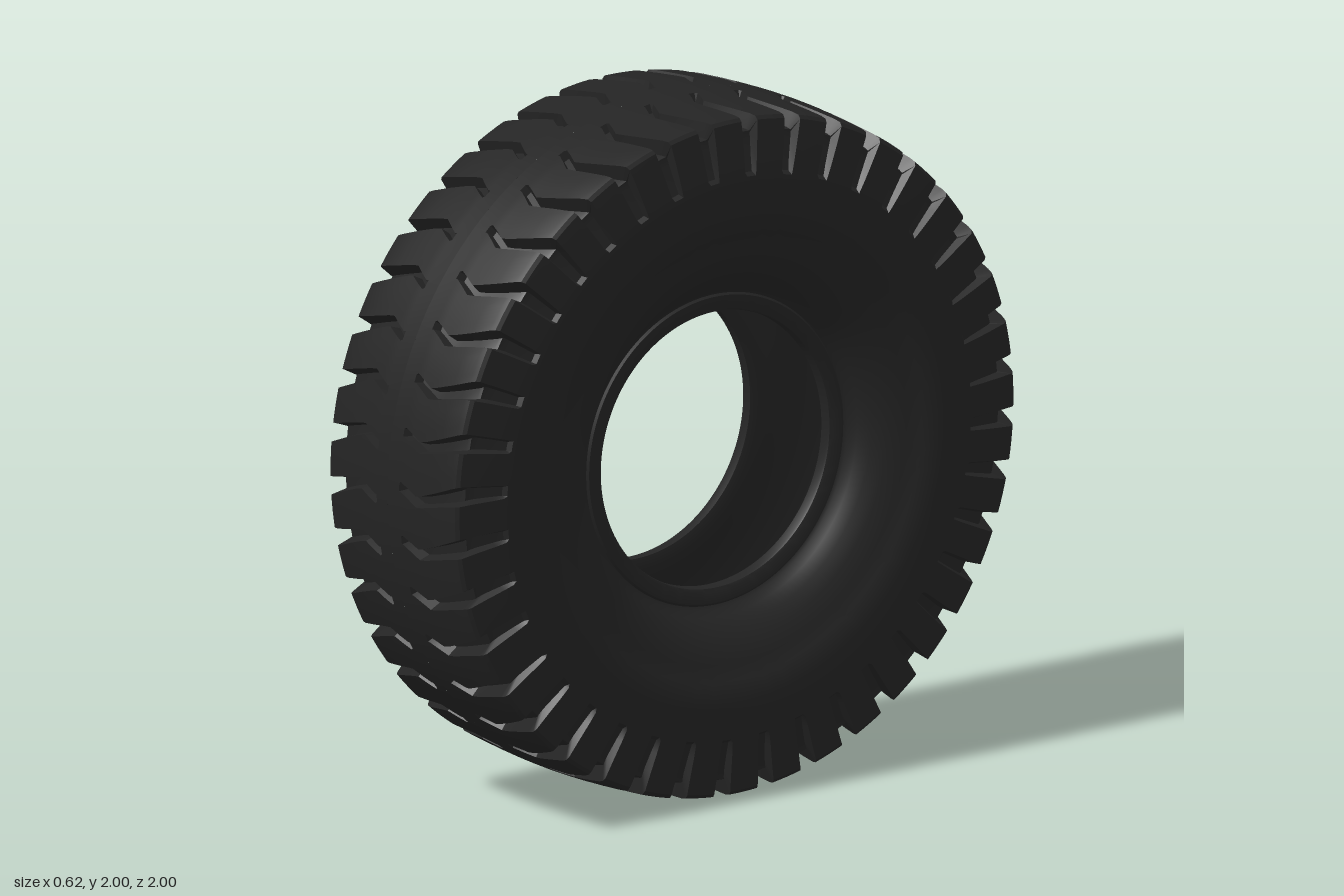
import * as THREE from 'three';
import { toCreasedNormals } from 'three/addons/utils/BufferGeometryUtils.js';

const PITCHES = 40;
const PITCH = (Math.PI * 2) / PITCHES;

// Tread cross-section from centre line to sidewall:
// x, radius, groove depth in x, groove depth in radius, groove angle, groove width
const ROWS = [
  [0, 1, 0, 0, 0.03, 0.028],
  [0.052, 0.999, 0, 0, 0.03, 0.028],
  [0.06, 0.999, 0, 0.025, 0.03, 0.028],
  [0.09, 0.998, 0, 0.03, 0.017, 0.03],
  [0.125, 0.996, 0, 0.035, 0, 0.032],
  [0.15, 0.995, 0, 0.038, 0.005, 0.035],
  [0.21, 0.991, 0, 0.042, 0.023, 0.042],
  [0.27, 0.986, 0.004, 0.045, 0.042, 0.052],
  [0.288, 0.982, 0.012, 0.045, 0.047, 0.056],
  [0.296, 0.972, 0.02, 0.04, 0.049, 0.058],
  [0.302, 0.92, 0.022, 0.01, 0.05, 0.054],
  [0.308, 0.86, 0.018, 0, 0.05, 0.05],
  [0.311, 0.825, 0.012, 0, 0.05, 0.046],
  [0.3115, 0.815, 0, 0, 0.05, 0.044],
  [0.312, 0.8, 0, 0, 0.05, 0.044],
];

// One half of the tread, with mesh columns that follow the bent grooves
function treadHalf() {
  const pos = [], index = [];
  const cols = PITCHES * 7 + 1;
  for (const [x, r, dx, dr, shift, w] of ROWS) {
    const land = PITCH - w;
    const offsets = [-w / 2, -w * 0.33, w * 0.33, w / 2,
      w / 2 + land * 0.25, w / 2 + land * 0.5, w / 2 + land * 0.75];
    for (let c = 0; c < cols; c++) {
      const k = c % 7;
      const a = Math.floor(c / 7) * PITCH + shift + offsets[k];
      const cut = k === 1 || k === 2 ? 1 : 0;
      const rr = r - dr * cut;
      pos.push(x - dx * cut, rr * Math.sin(a), rr * Math.cos(a));
    }
  }
  for (let i = 0; i < ROWS.length - 1; i++) {
    for (let j = 0; j < cols - 1; j++) {
      const a = i * cols + j, b = a + cols;
      index.push(a, b, b + 1, a, b + 1, a + 1);
    }
  }
  const g = new THREE.BufferGeometry();
  g.setAttribute('position', new THREE.Float32BufferAttribute(pos, 3));
  g.setIndex(index);
  return toCreasedNormals(g, 0.5);
}

// Sidewalls, beads and hollow inside as one lathe around the x axis
function carcass() {
  const half = [ // radius, x
    [0.802, 0.312], [0.72, 0.311], [0.655, 0.308], [0.648, 0.303],
    [0.6, 0.295], [0.55, 0.276], [0.51, 0.252], [0.48, 0.225], [0.462, 0.203],
    [0.452, 0.198], [0.446, 0.204], [0.41, 0.204], [0.402, 0.2], [0.4, 0.192],
    [0.4, 0.165], [0.43, 0.16], [0.48, 0.18], [0.54, 0.225], [0.62, 0.255],
    [0.74, 0.258], [0.82, 0.24], [0.87, 0.19], [0.89, 0.1],
  ];
  const mirrored = half.slice().reverse().map(([r, x]) => [r, -x]);
  const points = [...half, ...mirrored].map(([r, x]) => new THREE.Vector2(r, x));
  const g = new THREE.LatheGeometry(points, 140);
  g.rotateZ(-Math.PI / 2);
  return toCreasedNormals(g, 0.6);
}

export function createModel() {
  const model = new THREE.Group();
  model.name = 'tyre';
  const rubber = new THREE.MeshStandardMaterial({ color: 0x242424 });
  rubber.name = 'black rubber';

  const add = (name, geometry) => {
    const mesh = new THREE.Mesh(geometry, rubber);
    mesh.name = name;
    mesh.position.y = 1;
    model.add(mesh);
    return mesh;
  };

  // The right tread is the left one turned half way round the front axis
  const tread = treadHalf();
  add('leftTread', tread);
  add('rightTread', tread).rotation.z = Math.PI;
  add('sidewallsAndBeads', carcass());
  return model;
}
